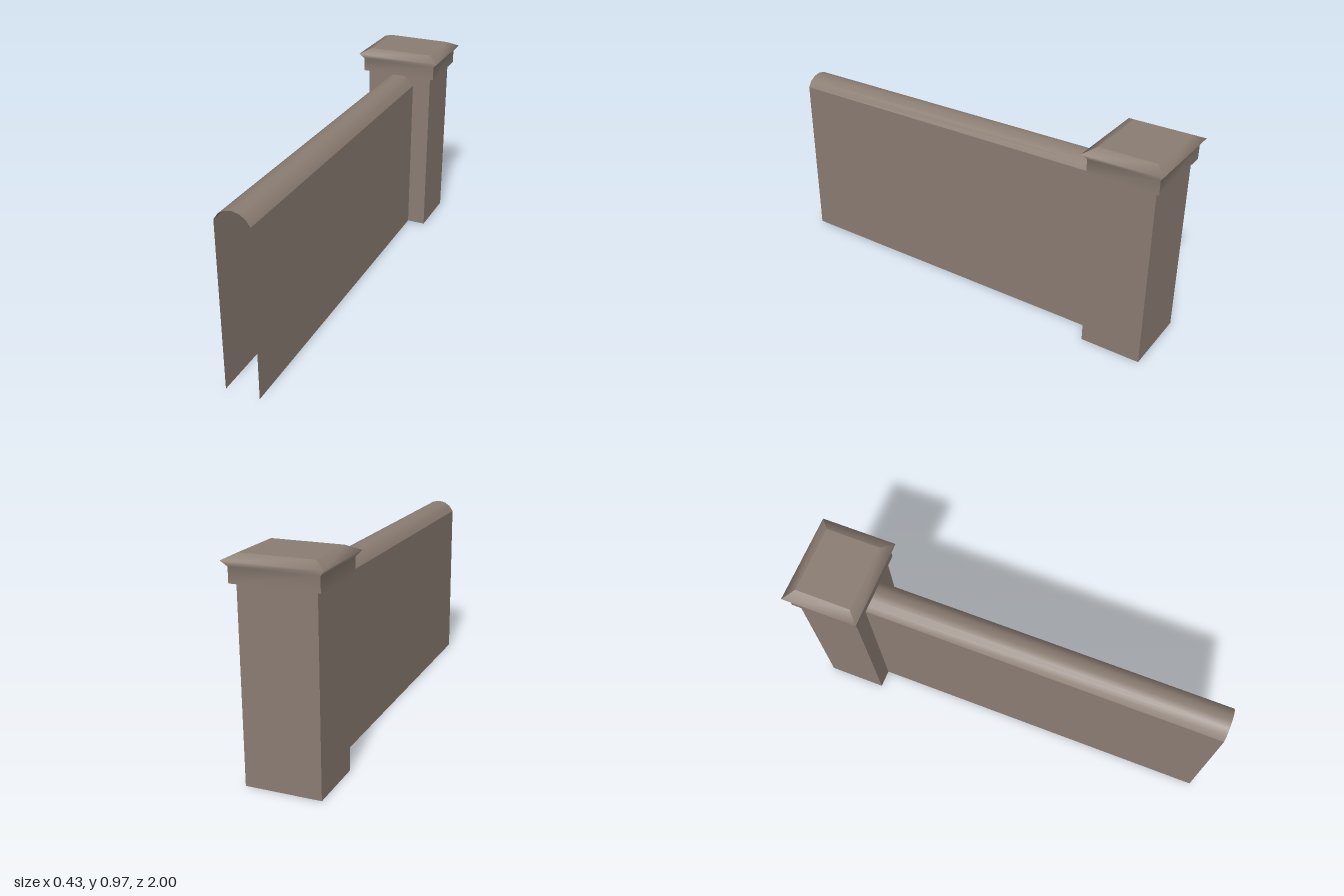
import * as THREE from 'three';

const stone = new THREE.MeshStandardMaterial({ color: 0x8a7c72, side: THREE.DoubleSide });
stone.name = 'warm grey stone';

// Smooth sheet through rows of points; columns run right, rows run up (seen from outside)
function sheet(name, rows) {
  const n = rows[0].length, index = [];
  for (let r = 0; r < rows.length - 1; r++) {
    for (let c = 0; c < n - 1; c++) {
      const a = r * n + c, b = a + 1, d = a + n, e = d + 1;
      index.push(a, b, e, a, e, d);
    }
  }
  const geometry = new THREE.BufferGeometry();
  geometry.setAttribute('position', new THREE.Float32BufferAttribute(rows.flat(2), 3));
  geometry.setIndex(index);
  geometry.computeVertexNormals();
  const mesh = new THREE.Mesh(geometry, stone);
  mesh.name = name;
  return mesh;
}

// Four sides of a rectangular tower, each smooth upwards and sharp at the corners.
// Levels are [half width x, half depth z, y].
function fourSides(name, levels, x, z) {
  const group = new THREE.Group();
  group.name = name;
  const corners = [[-1, 1], [1, 1], [1, -1], [-1, -1]];
  corners.forEach((p, i) => {
    const q = corners[(i + 1) % 4];
    group.add(sheet(name + 'Side', levels.map(([w, d, y]) =>
      [p, q].map(([sx, sz]) => [x + sx * w, y, z + sz * d]))));
  });
  return group;
}

export function createModel() {
  const model = new THREE.Group();
  model.name = 'wallWithPost';
  const postZ = -0.822;

  // Post, open at the bottom
  model.add(fourSides('post', [[0.169, 0.14, 0], [0.169, 0.14, 0.85]], -0.001, postZ));

  // Cap: underside, moulded sides and flat top
  const cap = new THREE.Group();
  cap.name = 'cap';
  cap.add(fourSides('capUnderside', [[0.169, 0.14, 0.85], [0.191, 0.16, 0.85]], 0, postZ));
  cap.add(fourSides('capMoulding', [
    [0.191, 0.16, 0.85], [0.191, 0.16, 0.915], [0.213, 0.178, 0.941], [0.16, 0.13, 0.967],
  ], 0, postZ));
  const top = new THREE.Mesh(new THREE.PlaneGeometry(0.32, 0.26).rotateX(-Math.PI / 2), stone);
  top.name = 'capTop';
  top.position.set(0, 0.967, postZ);
  cap.add(top);
  model.add(cap);

  // Hollow wall, open at the bottom and the front end
  const wall = new THREE.Group();
  wall.name = 'wall';
  const wallX = -0.004, half = 0.08, front = 1, back = -0.682, eaves = 0.795, ridge = 0.848;
  wall.add(sheet('wallLeft', [0, eaves].map(y => [[wallX + half, y, front], [wallX + half, y, back]])));
  wall.add(sheet('wallRight', [0, eaves].map(y => [[wallX - half, y, back], [wallX - half, y, front]])));

  // Rounded coping along the top of the wall
  const rise = ridge - eaves;
  const radius = (half * half + rise * rise) / (2 * rise);
  const spread = Math.asin(half / radius);
  const arch = [];
  for (let i = 0; i <= 6; i++) {
    const a = spread * (1 - i / 3);
    const x = wallX + radius * Math.sin(a), y = ridge - radius * (1 - Math.cos(a));
    arch.push([[x, y, front], [x, y, back]]);
  }
  wall.add(sheet('wallCoping', arch));
  model.add(wall);

  return model;
}
